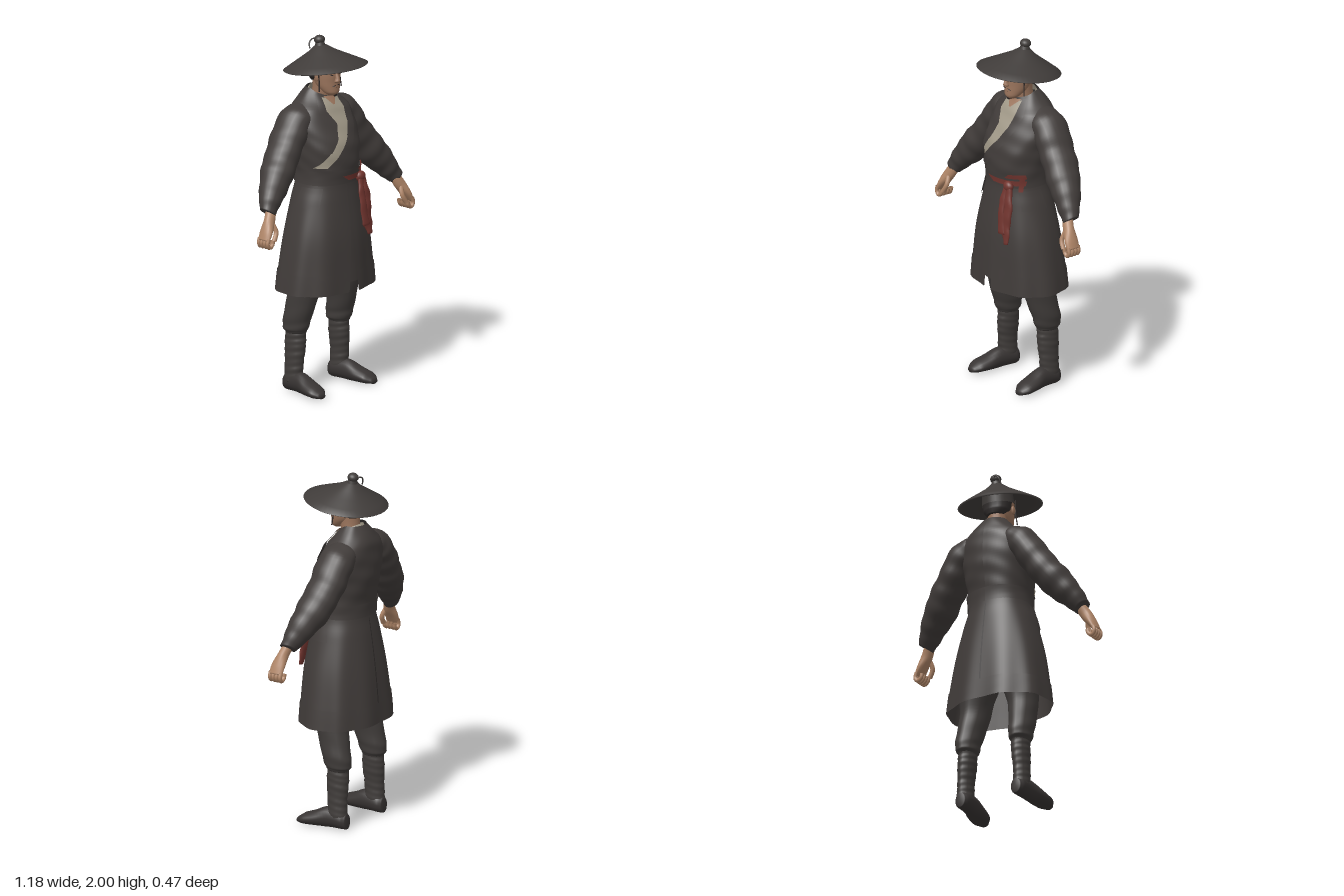
import * as THREE from 'three';

const V = (x, y, z) => new THREE.Vector3(x, y, z);
const mat = (name, color, side = THREE.FrontSide) => {
  const m = new THREE.MeshStandardMaterial({ color, side });
  m.name = name;
  return m;
};

// Robe cross-sections: y, centre z, half width, half depth
const BODY = [
  [0.585, -0.004, 0.304, 0.218], [0.7, -0.002, 0.291, 0.212], [0.9, 0.004, 0.258, 0.197],
  [1.1, 0.005, 0.207, 0.169], [1.2, 0.007, 0.178, 0.155], [1.3, 0.007, 0.182, 0.165],
  [1.4, -0.006, 0.196, 0.17], [1.5, -0.029, 0.208, 0.152], [1.6, -0.052, 0.183, 0.124],
  [1.65, -0.054, 0.128, 0.102], [1.71, -0.05, 0.074, 0.066],
];
const POW = 2 / 2.2;
const spow = (v, p) => Math.sign(v) * Math.abs(v) ** p;

function bodySection(y) {
  let i = 0;
  while (i < BODY.length - 2 && y > BODY[i + 1][0]) i++;
  const at = k => BODY[Math.min(BODY.length - 1, Math.max(0, k))];
  const [p, a, b, q] = [at(i - 1), at(i), at(i + 1), at(i + 2)];
  const h = b[0] - a[0], t = Math.min(1, Math.max(0, (y - a[0]) / h));
  return [1, 2, 3].map(k => {
    const m0 = (b[k] - p[k]) / (b[0] - p[0]) * h, m1 = (q[k] - a[k]) / (q[0] - a[0]) * h;
    return a[k] + t * (m0 + t * (3 * (b[k] - a[k]) - 2 * m0 - m1 + t * (m0 + m1 - 2 * (b[k] - a[k]))));
  });
}

// Point on the robe; angle 0 is the front, a quarter turn is +x. The neckline dips at the front.
function bodyPoint(a, y, off) {
  const [cz, rx, rz] = bodySection(y);
  const skirt = Math.max(0, 1.15 - y) / 0.55;
  const crease = y > 1.25 ? 0.003 * Math.sin(y * 45 + 3 * Math.cos(a)) * Math.sin(y * 17 + 4 * a) : 0;
  const fold = off + crease + skirt * 0.005 * Math.sin(9 * a + 1);
  const dip = 0.035 * Math.max(0, Math.cos(a)) * Math.max(0, (y - 1.6) / 0.11);
  return V((rx + fold) * spow(Math.sin(a), POW), y - dip, cz + (rz + fold) * spow(Math.cos(a), POW));
}
function frontAngle(x, y) {
  const rx = bodySection(y)[1];
  return Math.asin(Math.max(-1, Math.min(1, spow(x / rx, 1 / POW))));
}

// Surface from a grid of points
function grid(rows, closed) {
  const n = rows[0].length, idx = [];
  for (let i = 0; i < rows.length - 1; i++)
    for (let j = 0; j < (closed ? n : n - 1); j++) {
      const k = (j + 1) % n, a = i * n + j, b = a + n, c = i * n + k, d = c + n;
      idx.push(a, b, c, b, d, c);
    }
  const g = new THREE.BufferGeometry().setFromPoints(rows.flat());
  g.setIndex(idx);
  g.computeVertexNormals();
  return g;
}

// Cloth following the robe: rows from top to bottom are [y, start, end] in x or in angle
function shell(rows, off, byAngle = false, nu = 10, nv = 6) {
  const out = [];
  for (let r = 0; r < rows.length - 1; r++)
    for (let s = r ? 1 : 0; s <= nv; s++) {
      const [y, l, e] = rows[r].map((v, k) => THREE.MathUtils.lerp(v, rows[r + 1][k], s / nv));
      out.push(Array.from({ length: nu + 1 }, (_, j) => {
        const u = l + (e - l) * j / nu;
        return bodyPoint(byAngle ? u : frontAngle(u, y), y, off);
      }));
    }
  return grid(out, false);
}

// Solid along a path of [x, y, z, radius across, radius along ref]
function limb(pts, { s = 1, ref = V(0, 0, 1), steps = 24, n = 18, wrinkle = 0, freq = 40, caps = true } = {}) {
  const path = new THREE.CatmullRomCurve3(pts.map(p => V(p[0] * s, p[1], p[2])));
  const size = new THREE.CatmullRomCurve3(pts.map(p => V(p[3], p[4], 0)));
  const rows = [];
  for (let i = 0; i <= steps; i++) {
    const t = i / steps, c = path.getPoint(t), r = size.getPoint(t);
    const side = path.getTangent(t).cross(ref).normalize();
    const ring = Array.from({ length: n }, (_, j) => {
      const a = j / n * Math.PI * 2;
      const w = 1 + wrinkle * (Math.sin(t * freq + 2 * Math.sin(a)) + 0.7 * Math.sin(t * freq * 0.57 - 2 * Math.cos(a)));
      return c.clone().addScaledVector(side, Math.cos(a) * r.x * w).addScaledVector(ref, Math.sin(a) * r.y * w);
    });
    const tip = ring.map(() => c.clone());
    if (caps && i === 0) rows.push(tip);
    rows.push(ring);
    if (caps && i === steps) rows.push(tip);
  }
  return grid(rows, true);
}
const cord = (pts, r) =>
  new THREE.TubeGeometry(new THREE.CatmullRomCurve3(pts.map(p => V(...p))), 14, r, 7);

export function createModel() {
  const model = new THREE.Group();
  const D = THREE.DoubleSide;
  const robe = mat('robe cloth', 0x413c3a, D), shade = mat('dark lining', 0x312d2c, D);
  const hatCloth = mat('hat cloth', 0x403c3a, D), trousers = mat('trouser cloth', 0x403c3a);
  const boot = mat('boot leather', 0x383433), skin = mat('hand skin', 0xb08668, D);
  const faceSkin = mat('face skin', 0x9a745c, D);
  const linen = mat('linen', 0xa19988, D), red = mat('red sash', 0x72352f, D), hair = mat('hair', 0x2e2726, D);
  const add = (name, geo, m, parent = model) => {
    const mesh = new THREE.Mesh(geo, m);
    mesh.name = name;
    parent.add(mesh);
    return mesh;
  };
  const ball = (name, x, y, z, sx, sy, sz, m) => {
    const b = add(name, new THREE.SphereGeometry(1, 16, 12), m);
    b.position.set(x, y, z);
    b.scale.set(sx, sy, sz);
    return b;
  };
  const TAU = Math.PI * 2;

  // Robe: jacket, skirt split at the front, belt and hem
  add('jacket', shell([[1.71, -Math.PI, Math.PI], [1.18, -Math.PI, Math.PI]], 0, true, 64, 40), robe);
  add('skirt', shell([[1.2, 0.01, TAU - 0.01], [0.9, 0.03, TAU - 0.03], [0.585, 0.09, TAU - 0.1]], 0, true, 90, 14), robe);
  add('skirtInnerPanel', shell([[1.18, -0.4, 0.4], [0.64, -0.4, 0.4]], -0.012, true, 16, 12), robe);
  add('hemBand', shell([[0.7, 0.075, TAU - 0.08], [0.59, 0.09, TAU - 0.1]], 0.004, true, 90, 3), robe);
  add('backSeam', shell([[1.18, Math.PI - 0.01, Math.PI + 0.012], [0.59, Math.PI - 0.01, Math.PI + 0.012]], 0.003, true, 2, 12), shade);
  add('belt', shell([[1.275, -Math.PI, Math.PI], [1.195, -Math.PI, Math.PI]], 0.008, true, 64, 4), robe);
  for (const s of [-1, 1])
    add('hipFlap', shell([[1.18, s * 0.85, s * 1.6], [1.07, s * 0.9, s * 1.7]], 0.008, true), robe);

  // Neckline: linen undershirt and crossing lapels
  add('undershirt', shell([[1.69, -0.055, 0.06], [1.6, -0.07, 0.068], [1.53, -0.035, 0.054],
    [1.45, -0.058, 0.012], [1.38, -0.11, -0.048], [1.295, -0.172, -0.125]], 0.005), linen);
  add('throat', shell([[1.7, -0.04, 0.045], [1.635, -0.006, 0.004]], 0.009), faceSkin);
  add('leftLapel', shell([[1.7, 0.05, 0.07], [1.6, 0.062, 0.112], [1.53, 0.05, 0.1],
    [1.45, 0.008, 0.065], [1.38, -0.052, 0.01], [1.285, -0.135, -0.075]], 0.012), robe);
  add('rightLapel', shell([[1.7, -0.07, -0.05], [1.6, -0.11, -0.067], [1.53, -0.1, -0.03], [1.45, -0.125, -0.056],
    [1.38, -0.145, -0.106]], 0.009), robe);
  const collar = limb([[0, 1.65, -0.045, 0.09, 0.082], [0, 1.69, -0.042, 0.07, 0.067], [0, 1.708, -0.038, 0.064, 0.062]], { caps: false });
  const cp = collar.attributes.position;
  for (let i = 0; i < cp.count; i++) cp.setY(i, cp.getY(i) - (cp.getZ(i) + 0.08) * 0.42);
  collar.computeVertexNormals();
  add('undershirtCollar', collar, linen);

  // Red sash with knot and hanging tails
  add('sashUpperBand', shell([[1.278, 0.55, 1.12], [1.252, 0.4, 1.16]], 0.013, true, 24), red);
  add('sashLowerBand', shell([[1.242, -0.22, 1.16], [1.212, 0, 1.1]], 0.015, true, 24), red);
  add('sashSideLoop', shell([[1.27, 0.92, 1.12], [1.18, 0.85, 1.0]], 0.017, true), red);
  ball('sashKnot', 0.108, 1.21, 0.16, 0.034, 0.03, 0.024, red);
  add('longTail', limb([[0.118, 1.21, 0.162, 0.018, 0.014], [0.13, 1.1, 0.18, 0.032, 0.016],
    [0.126, 0.98, 0.192, 0.034, 0.015], [0.14, 0.885, 0.203, 0.018, 0.007]], { wrinkle: 0.07, freq: 25 }), red);
  add('shortTail', limb([[0.1, 1.21, 0.168, 0.016, 0.01], [0.09, 1.1, 0.192, 0.022, 0.01],
    [0.105, 0.94, 0.208, 0.026, 0.008]], { wrinkle: 0.07, freq: 20 }), red);

  // Arms, hands, legs and boots
  for (const s of [-1, 1]) {
    add('sleeve', limb([[0.08, 1.6, -0.06, 0.05, 0.07], [0.185, 1.53, -0.06, 0.09, 0.105], [0.275, 1.405, -0.05, 0.088, 0.104],
      [0.365, 1.285, -0.024, 0.09, 0.098], [0.45, 1.183, 0.01, 0.07, 0.072], [0.508, 1.105, 0.04, 0.047, 0.045]],
      { s, steps: 60, n: 24, wrinkle: 0.024, freq: 44 }), robe);
    add('palm', limb([[0.482, 1.13, 0.045, 0.03, 0.03], [0.515, 1.07, 0.064, 0.033, 0.03],
      [0.553, 1.01, 0.075, 0.024, 0.042], [0.577, 0.966, 0.078, 0.015, 0.042]], { s }), skin);
    for (let f = 0; f < 4; f++) {
      const z = 0.045 + f * 0.022;
      add('finger', cord([[s * 0.573, 0.98, z], [s * 0.581, 0.95, z], [s * 0.565, 0.929, z], [s * 0.543, 0.943, z], [s * 0.537, 0.966, z]], 0.0115), skin);
    }
    add('thumb', cord([[s * 0.515, 1.06, 0.08], [s * 0.505, 1.005, 0.103], [s * 0.528, 0.96, 0.11]], 0.0135), skin);

    add('trouserLeg', limb([[0.1, 0.86, -0.01, 0.12, 0.12], [0.135, 0.74, -0.01, 0.105, 0.11], [0.157, 0.57, -0.015, 0.079, 0.093],
      [0.171, 0.42, -0.053, 0.068, 0.086], [0.172, 0.355, -0.065, 0.06, 0.077], [0.173, 0.33, -0.065, 0.044, 0.06]],
      { s, steps: 44, wrinkle: 0.018, freq: 34 }), trousers);
    add('legWrap', limb([[0.17, 0.36, -0.063, 0.048, 0.062], [0.174, 0.27, -0.064, 0.048, 0.066],
      [0.181, 0.16, -0.066, 0.043, 0.059], [0.183, 0.06, -0.07, 0.045, 0.058]],
      { s, steps: 60, wrinkle: 0.018, freq: 50 }), trousers);
    add('boot', limb([[0.18, 0.045, -0.13, 0.028, 0.042], [0.18, 0.052, -0.1, 0.046, 0.052], [0.186, 0.058, -0.01, 0.047, 0.058],
      [0.198, 0.042, 0.07, 0.057, 0.042], [0.207, 0.031, 0.13, 0.055, 0.031], [0.21, 0.018, 0.172, 0.024, 0.014]],
      { s, ref: V(0, 1, 0) }), boot);
  }

  // Head
  add('neck', limb([[0, 1.6, -0.045, 0.06, 0.055], [0, 1.7, -0.028, 0.053, 0.055], [0, 1.78, -0.02, 0.056, 0.06]]), faceSkin);
  add('face', limb([[0, 1.676, 0.052, 0.022, 0.024], [0, 1.695, 0.042, 0.046, 0.044], [0, 1.735, 0.016, 0.066, 0.069],
    [0, 1.79, 0.002, 0.075, 0.083], [0, 1.85, -0.004, 0.077, 0.088], [0, 1.9, -0.01, 0.055, 0.065]], { n: 28 }), faceSkin);
  add('hairCap', limb([[0, 1.75, -0.05, 0.05, 0.045], [0, 1.78, -0.036, 0.077, 0.066], [0, 1.85, -0.03, 0.084, 0.075],
    [0, 1.91, -0.03, 0.06, 0.06]]), shade);
  add('nose', limb([[0, 1.808, 0.078, 0.008, 0.01], [0, 1.775, 0.087, 0.012, 0.016], [0, 1.76, 0.088, 0.017, 0.017],
    [0, 1.75, 0.08, 0.01, 0.008]]), faceSkin);
  ball('mouth', 0, 1.722, 0.079, 0.018, 0.003, 0.006, hair);
  ball('goatee', 0, 1.684, 0.07, 0.014, 0.015, 0.012, hair);
  for (const s of [-1, 1]) {
    ball('eye', s * 0.031, 1.796, 0.076, 0.012, 0.003, 0.006, hair);
    ball('eyebrow', s * 0.032, 1.814, 0.078, 0.017, 0.003, 0.007, hair).rotation.z = s * 0.15;
    ball('moustache', s * 0.016, 1.735, 0.08, 0.013, 0.003, 0.006, hair).rotation.z = -s * 0.35;
    ball('ear', s * 0.079, 1.785, 0.008, 0.009, 0.026, 0.016, faceSkin);
    add('hatString', cord([[s * 0.088, 1.85, 0.02], [s * 0.083, 1.76, 0.03], [s * 0.088, 1.705, 0.035]], 0.0035), hair);
  }

  // Tilted conical hat with a knob and cord
  const hat = new THREE.Group();
  hat.name = 'hat';
  hat.position.set(0, 1.828, 0);
  hat.rotation.x = -0.135;
  model.add(hat);
  const profile = [[0.226, -0.006], [0.235, 0], [0.19, 0.025], [0.13, 0.057], [0.07, 0.09], [0.035, 0.116], [0, 0.124]];
  const brim = new THREE.LatheGeometry(profile.map(p => new THREE.Vector2(...p)), 48);
  const bp = brim.attributes.position;
  for (let i = 0; i < bp.count; i++) bp.setZ(i, bp.getZ(i) - Math.max(0, bp.getY(i)) * 0.2);
  brim.computeVertexNormals();
  add('hatBrim', brim, hatCloth, hat);
  add('hatBand', new THREE.CylinderGeometry(0.084, 0.09, 0.07, 32, 1, true), hatCloth, hat).position.set(0, 0.03, -0.022);
  add('knobNeck', new THREE.CylinderGeometry(0.022, 0.03, 0.03, 20), hatCloth, hat).position.set(0, 0.128, -0.026);
  const knob = add('knob', new THREE.SphereGeometry(0.031, 20, 14), hatCloth, hat);
  knob.position.set(0, 0.149, -0.027);
  knob.scale.y = 0.8;
  add('knobCord', cord([[0, 0.15, -0.05], [-0.02, 0.155, -0.062], [-0.04, 0.14, -0.065], [-0.05, 0.105, -0.06]], 0.004), hatCloth, hat);
  return model;
}
